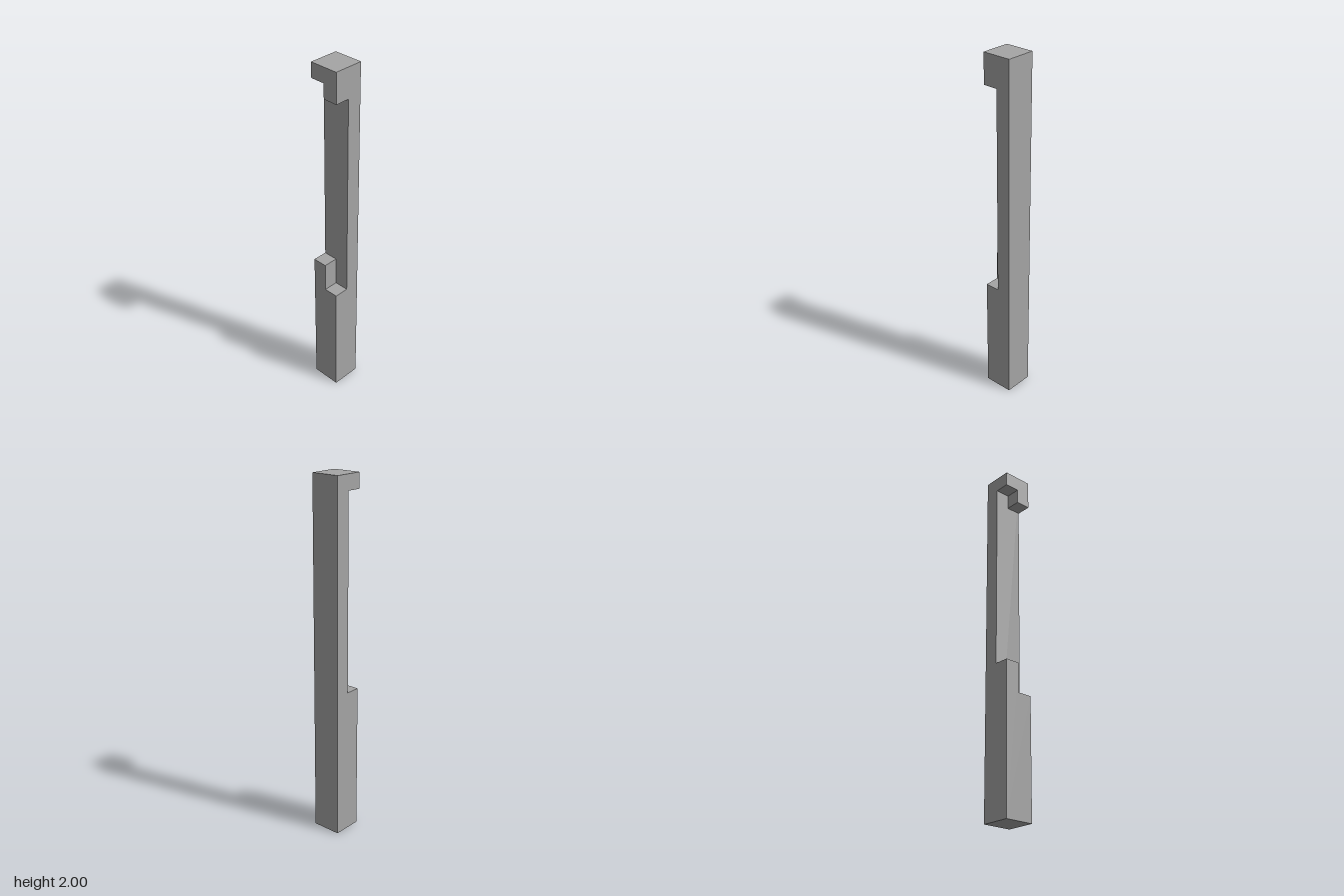
import * as THREE from 'three';

const H = 2, R = 1 / 12; // post height and half width

export function createModel() {
  const group = new THREE.Group();
  group.name = 'notchedPost';
  const grey = new THREE.MeshStandardMaterial({ color: 0xa5a5a5 });
  grey.name = 'grey';

  const add = (name, geometry) => {
    const mesh = new THREE.Mesh(geometry, grey);
    mesh.name = name;
    group.add(mesh);
  };

  // Full-height rear half of the post
  add('backHalf', new THREE.BoxGeometry(2 * R, H, R).translate(0, H / 2, -R / 2));

  // Front blocks with a stepped edge, either side of the long recess
  const steppedBlock = (name, base, stepRight, stepLeft) => {
    const outline = [[-R, base], [R, base], [R, stepLeft], [0, stepLeft], [0, stepRight], [-R, stepRight]];
    const shape = new THREE.Shape(outline.map(([x, y]) => new THREE.Vector2(x, y)));
    add(name, new THREE.ExtrudeGeometry(shape, { depth: R, bevelEnabled: false }));
  };
  steppedBlock('lowerFront', 0, 5 / 6, 2 / 3);
  steppedBlock('upperFront', H, 23 / 12, 11 / 6);

  return group;
}
